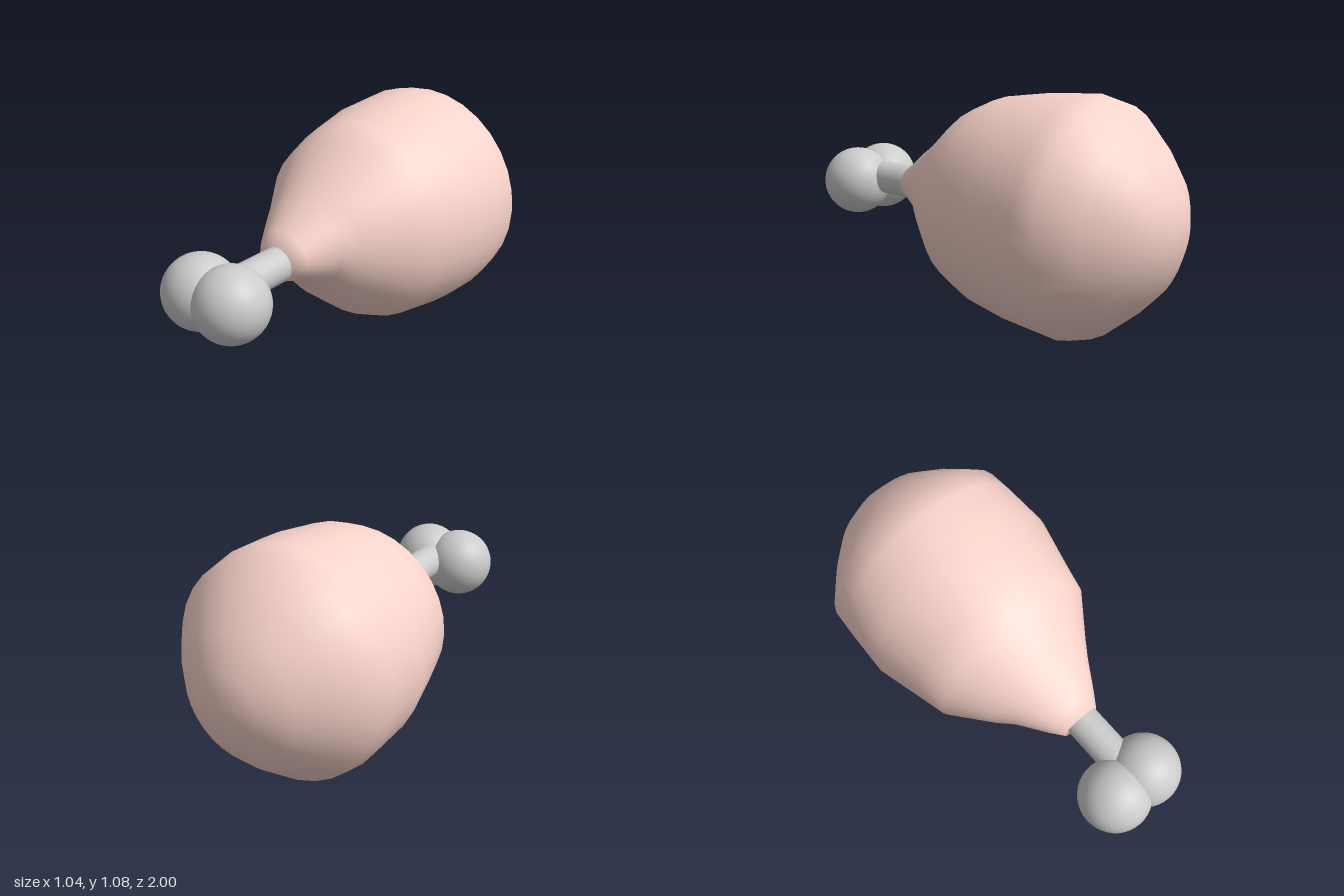
import * as THREE from 'three';
import { mergeVertices } from 'three/addons/utils/BufferGeometryUtils.js';

// Meat cross-sections from the neck to the rounded back: [z, half width, top y, bottom y, centre x]
const SECTIONS = [
  [0.47, 0, 0.56, 0.56, 0.01],
  [0.49, 0.095, 0.64, 0.475, 0.01],
  [0.43, 0.14, 0.68, 0.455, 0.005],
  [0.3, 0.225, 0.775, 0.385, 0],
  [0.22, 0.285, 0.83, 0.275, 0],
  [0.03, 0.43, 0.975, 0.12, 0],
  [-0.1, 0.46, 1.03, 0.055, 0],
  [-0.33, 0.52, 1.063, 0.025, 0],
  [-0.55, 0.51, 1.08, 0, 0],
  [-0.66, 0.503, 1.055, 0.035, 0],
  [-0.79, 0.395, 0.945, 0.14, 0],
  [-0.9, 0.28, 0.83, 0.25, 0],
  [-0.975, 0.15, 0.69, 0.39, 0],
  [-1, 0, 0.54, 0.54, 0],
];

// Skin elliptical rings into one smooth closed surface
function loftMeat(sides = 32) {
  const positions = [], indices = [];
  SECTIONS.forEach(([z, w, top, bottom, cx], i) => {
    for (let j = 0; j < sides; j++) {
      const a = (j / sides) * Math.PI * 2;
      positions.push(cx + w * Math.cos(a), (top + bottom) / 2 + ((top - bottom) / 2) * Math.sin(a), z);
      if (i === SECTIONS.length - 1) continue;
      const k = (j + 1) % sides;
      const p = i * sides + j, q = i * sides + k;
      if (i < SECTIONS.length - 2) indices.push(p + sides, q + sides, q);
      if (i > 0) indices.push(p, p + sides, q);
    }
  });
  const geometry = new THREE.BufferGeometry();
  geometry.setAttribute('position', new THREE.Float32BufferAttribute(positions, 3));
  geometry.setIndex(indices);
  const merged = mergeVertices(geometry, 1e-4);
  merged.computeVertexNormals();
  return merged;
}

export function createModel() {
  const model = new THREE.Group();
  model.name = 'drumstick';
  const meatMaterial = new THREE.MeshStandardMaterial({ color: 0xfad4cb });
  const boneMaterial = new THREE.MeshStandardMaterial({ color: 0xcccccc });

  const add = (name, geometry, material, x, y, z) => {
    const mesh = new THREE.Mesh(geometry, material);
    mesh.name = name;
    mesh.position.set(x, y, z);
    model.add(mesh);
    return mesh;
  };

  add('meat', loftMeat(), meatMaterial, 0, 0, 0);

  // Bone shaft runs from inside the meat into the two knobs
  const shaft = add('boneShaft', new THREE.CylinderGeometry(0.08, 0.08, 0.5, 32), boneMaterial, 0.02, 0.555, 0.55);
  shaft.rotation.x = Math.PI / 2;

  // Overlapping round knobs at the end of the bone
  const knob = new THREE.SphereGeometry(0.167, 40, 24);
  add('rightKnob', knob, boneMaterial, -0.094, 0.531, 0.833);
  add('leftKnob', knob, boneMaterial, 0.082, 0.531, 0.833);

  return model;
}
